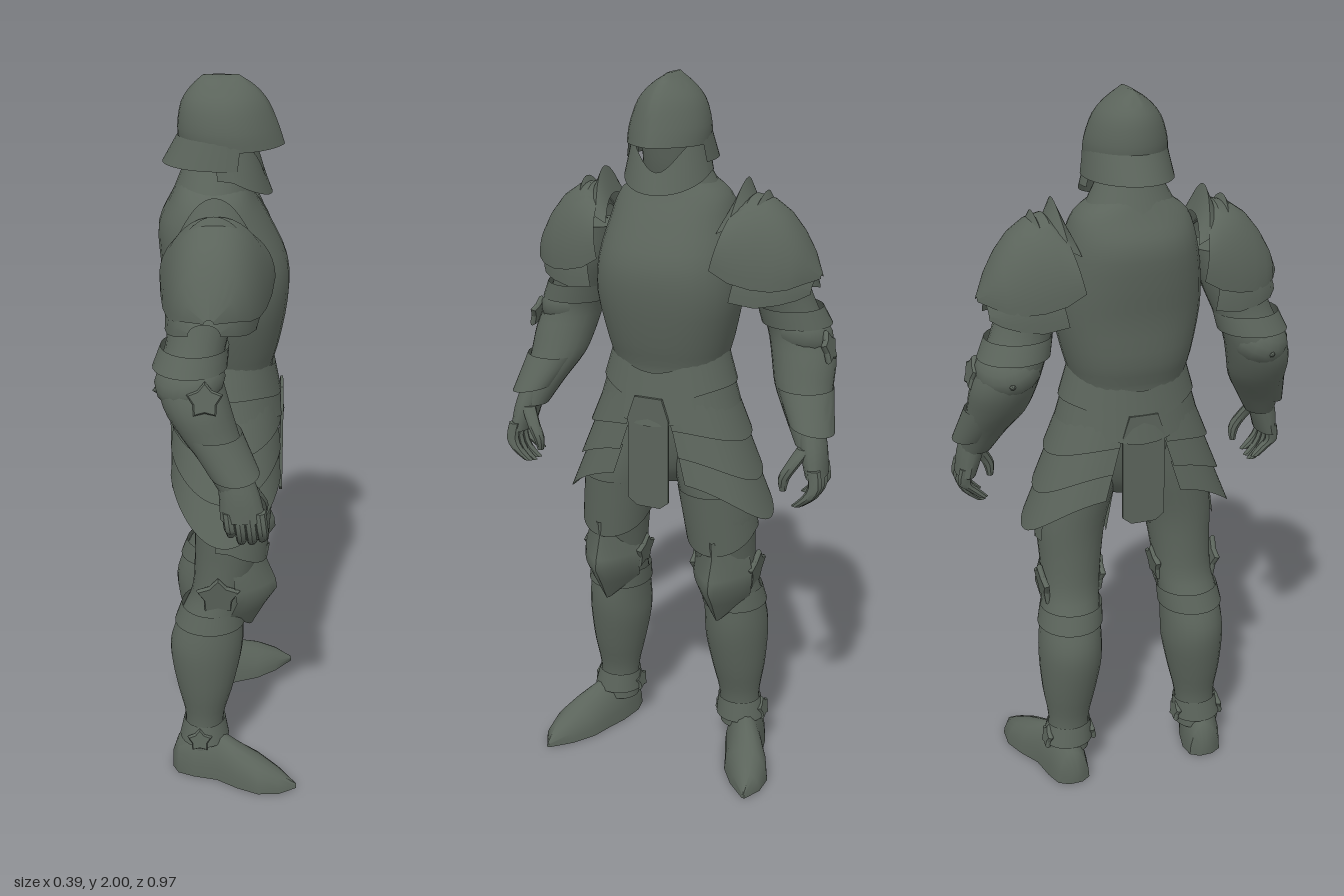
import * as THREE from 'three';
import { toCreasedNormals } from 'three/addons/utils/BufferGeometryUtils.js';
import { ParametricGeometry } from 'three/addons/geometries/ParametricGeometry.js';

const steel = new THREE.MeshStandardMaterial({ color: 0x5b645b, side: THREE.DoubleSide });
steel.name = 'dark steel';
const { sin, cos, abs, max, sign, PI } = Math;
const lerp = THREE.MathUtils.lerp;
const rad = THREE.MathUtils.degToRad;

function add(parent, name, geo, crease = 0.75) {
  const mesh = new THREE.Mesh(toCreasedNormals(geo, crease), steel);
  mesh.name = name;
  parent.add(mesh);
  return mesh;
}

// open plate from a rule f(u, v) -> [x, y, z]
function sheet(parent, name, nu, nv, f) {
  return add(parent, name, new ParametricGeometry((u, v, t) => t.set(...f(u, v)), nu, nv));
}

// closed body through horizontal ellipses [x, y, z, rx, rz]; power > 2 is boxier, point sharpens the front
function loft(parent, name, rings, { n = 20, sub = 3, power = 2, point = 0 } = {}) {
  const mid = new THREE.CatmullRomCurve3(rings.map(r => new THREE.Vector3(r[0], r[1], r[2])), false, 'catmullrom');
  const size = new THREE.CatmullRomCurve3(rings.map(r => new THREE.Vector3(r[3], r[4], 0)), false, 'catmullrom');
  const stacks = (rings.length - 1) * sub + 2;
  return sheet(parent, name, n, stacks, (u, v) => {
    const j = Math.round(v * stacks);
    const t = Math.min(1, max(0, (j - 1) / (stacks - 2)));
    const c = mid.getPoint(t), r = size.getPoint(t);
    const k = j === 0 || j === stacks ? 0 : 1;
    const a = u * 2 * PI, bend = w => sign(w) * abs(w) ** (2 / power);
    return [c.x + k * r.x * bend(cos(a)), c.y,
      c.z + k * r.y * bend(sin(a)) * (cos(a) > 0 ? abs(sin(a)) ** point : 1)];
  });
}

// flared band between two ellipses; angles run from the front (+x); drop lowers the edges
function lame(parent, name, top, bottom, a0, a1, dropTop = () => 0, dropBottom = dropTop, n = 28) {
  return sheet(parent, name, n, 3, (u, v) => {
    const a = rad(lerp(a0, a1, u));
    const m = top.map((w, i) => lerp(w, bottom[i], v));
    return [m[0] + m[3] * cos(a), m[1] - lerp(dropTop(a), dropBottom(a), v), m[2] + m[4] * sin(a)];
  });
}

// five-pointed fan plate on the side of a joint
function fan(parent, name, x, y, z, r, tilt) {
  const s = new THREE.Shape();
  for (let i = 0; i < 10; i++) {
    const a = PI / 2 + i * PI / 5, q = i % 2 ? r * 0.65 : r;
    i ? s.lineTo(q * cos(a), q * sin(a)) : s.moveTo(q * cos(a), q * sin(a));
  }
  const m = add(parent, name, new THREE.ExtrudeGeometry(s, { depth: 0.004, bevelSize: 0.004, bevelThickness: 0.006, bevelSegments: 1 }), 0.3);
  m.position.set(x, y, z);
  m.rotation.x = tilt;
}

function hangingTab(parent, name, x) {
  const s = new THREE.Shape();
  [[-0.04, 0.32], [0.04, 0.32], [0.06, 0.26], [0.06, 0.02], [0.035, 0], [-0.035, 0], [-0.06, 0.02], [-0.06, 0.26]]
    .forEach((p, i) => i ? s.lineTo(...p) : s.moveTo(...p));
  const m = add(parent, name, new THREE.ExtrudeGeometry(s, { depth: 0.008, bevelEnabled: false }), 0.3);
  m.rotation.y = PI / 2;
  m.position.set(x, 0.84, 0);
}

function helmet(g) {
  loft(g, 'head', [[-0.045, 1.68, 0, 0.07, 0.075], [-0.025, 1.76, 0, 0.075, 0.078], [-0.02, 1.85, 0, 0.085, 0.08]]);
  // pointed dome with a comb and a beaked brow
  loft(g, 'helmetSkull', [[0, 1.825, 0, 0.135, 0.108], [-0.01, 1.87, 0, 0.13, 0.106], [-0.018, 1.93, 0, 0.112, 0.086],
    [-0.022, 1.97, 0, 0.082, 0.05], [-0.028, 1.998, 0, 0.045, 0.006]], { n: 32, point: 0.4 });
  lame(g, 'neckGuard', [-0.01, 1.85, 0, 0.13, 0.106], [-0.025, 1.78, 0, 0.155, 0.118], 75, 285);
  // cheek and chin guard, cut away before the mouth
  lame(g, 'chinGuard', [-0.01, 1.84, 0, 0.092, 0.1], [0, 1.755, 0, 0.105, 0.12], -110, 110,
    a => 0.085 * max(0, cos(a)) ** 4, a => 0.055 * max(0, cos(a)));
}

function body(g) {
  loft(g, 'cuirass', [[-0.02, 1.15, 0, 0.14, 0.17], [-0.02, 1.22, 0, 0.13, 0.155], [-0.02, 1.3, 0, 0.15, 0.175],
    [-0.012, 1.42, 0, 0.163, 0.2], [-0.02, 1.52, 0, 0.168, 0.196], [-0.045, 1.62, 0, 0.147, 0.175],
    [-0.05, 1.69, 0, 0.11, 0.15], [-0.05, 1.735, 0, 0.088, 0.09]], { n: 32, power: 2.3 });
  lame(g, 'gorget', [-0.042, 1.775, 0, 0.082, 0.084], [-0.05, 1.7, 0, 0.105, 0.125], 0, 360);
  // waist lames with a shallow V at the front and back
  const dip = a => 0.04 * cos(a) ** 4;
  for (let i = 0; i < 2; i++) {
    const k = i * 0.01;
    lame(g, 'waistLame', [-0.018, 1.265 - i * 0.06, 0, 0.137 + k, 0.165 + k],
      [-0.016, 1.18 - i * 0.06, 0, 0.152 + k, 0.19 + k], 0, 360, dip, dip, 36);
  }
  loft(g, 'hips', [[-0.02, 1.16, 0, 0.135, 0.165], [-0.015, 1.05, 0, 0.125, 0.16], [-0.01, 0.94, 0, 0.095, 0.12],
    [-0.01, 0.88, 0, 0.05, 0.06]]);
  hangingTab(g, 'frontTab', 0.134);
  hangingTab(g, 'backTab', -0.169);
}

function tassets(g) {
  // three overlapping tiers, pointed at the outer side
  for (let i = 0; i < 3; i++) {
    sheet(g, 'tasset', 24, 3, (u, w) => {
      const a = rad(lerp(-80, 80, u)), v = (i + w * 1.15) / 3.15, out = 0.012 * (w - 0.6);
      const y = lerp(1.16, 0.8 + 0.125 * sin(a) ** 2, v);
      return [-0.016 + (0.148 + 0.004 * v + out * 0.7) * sin(a), y,
        0.05 * v + (lerp(0.19, 0.252, v) + out) * cos(a) ** 0.85];
    });
  }
}

function arm(g) {
  loft(g, 'arm', [[-0.06, 1.58, 0.25, 0.08, 0.08], [-0.07, 1.48, 0.28, 0.083, 0.083], [-0.085, 1.4, 0.31, 0.076, 0.082],
    [-0.1, 1.33, 0.34, 0.082, 0.085], [-0.085, 1.26, 0.362, 0.085, 0.088], [-0.055, 1.19, 0.375, 0.076, 0.08],
    [-0.015, 1.12, 0.4, 0.06, 0.062], [0.015, 1.05, 0.422, 0.045, 0.042]]);
  // shoulder arches narrowing to an outer point: [z, x, half width, top y, lower edge y]
  const arch = (name, st) => sheet(g, name, 24, st.length - 1, (u, v) => {
    const [z, x, w, top, low] = st[Math.round(v * (st.length - 1))], a = u * PI;
    return [x + w * sign(cos(a)) * abs(cos(a)) ** 0.9, lerp(low, top, sin(a)), z + 0.035 * (1 - v) ** 3 * sin(a)];
  });
  arch('pauldron', [[0.16, -0.035, 0.148, 1.67, 1.52], [0.21, -0.037, 0.141, 1.7, 1.49], [0.265, -0.04, 0.13, 1.69, 1.475],
    [0.315, -0.042, 0.115, 1.66, 1.47], [0.355, -0.045, 0.095, 1.615, 1.475], [0.385, -0.048, 0.067, 1.565, 1.485], [0.415, -0.05, 0.012, 1.5, 1.49]]);
  arch('lowerPauldron', [[0.2, -0.045, 0.12, 1.6, 1.43], [0.27, -0.05, 0.115, 1.62, 1.42],
    [0.33, -0.055, 0.1, 1.58, 1.43], [0.37, -0.06, 0.075, 1.53, 1.44], [0.395, -0.062, 0.04, 1.48, 1.45]]);
  // pointed ridges standing on top of the shoulder
  [[0.208, 1.685, 0.055, 0.03], [0.262, 1.68, 0.03, 0.025]].forEach(([z, y, h, t]) => sheet(g, 'shoulderRidge', 16, 4, (u, v) => {
    const q = u * 2 - 1, e = 1 - abs(2 * v - 1);
    return [-0.04 + 0.1 * q, y - 0.065 * q * q - 0.015 * (1 - e) + e * h * (1 - q * q), z + t * (v * 2 - 1) - 0.02 * q * q];
  }));
  // elbow cop with a swept-back point and upper rim
  const cop = add(g, 'elbowCop', new THREE.SphereGeometry(1, 16, 10));
  cop.scale.set(0.092, 0.068, 0.09);
  cop.position.set(-0.1, 1.32, 0.35);
  cop.rotation.set(0.35, 0, 0.35);
  const point = add(g, 'elbowPoint', new THREE.ConeGeometry(0.06, 0.07, 6));
  point.position.set(-0.16, 1.3, 0.36);
  point.rotation.z = PI / 2 + 0.25;
  lame(g, 'elbowRim', [-0.088, 1.4, 0.318, 0.086, 0.09], [-0.1, 1.35, 0.335, 0.094, 0.096], 0, 360);
  fan(g, 'elbowFan', -0.06, 1.3, 0.437, 0.042, -0.25);
  // flared gauntlet cuff
  lame(g, 'gauntletCuff', [-0.045, 1.19, 0.382, 0.076, 0.078], [0.012, 1.095, 0.423, 0.064, 0.062], 0, 360,
    () => 0, a => 0.012 * sin(a));
  loft(g, 'palm', [[0.012, 1.1, 0.422, 0.042, 0.036], [0.025, 1.04, 0.436, 0.052, 0.036],
    [0.035, 0.975, 0.45, 0.058, 0.028]], { n: 14 });
  for (let i = 0; i < 4; i++) {
    const x = -0.004 + i * 0.027, d = i === 0 ? 0.02 : i === 3 ? 0.008 : 0;
    loft(g, 'finger', [[x, 1, 0.453, 0.016, 0.019], [x + 0.006, 0.955, 0.46, 0.016, 0.019],
      [x + 0.009, 0.915 + d, 0.443, 0.015, 0.018], [x + 0.007, 0.885 + d, 0.41, 0.01, 0.014]], { n: 8, sub: 2 });
  }
  loft(g, 'thumb', [[0.055, 1.05, 0.42, 0.018, 0.022], [0.078, 1, 0.39, 0.018, 0.019], [0.083, 0.965, 0.372, 0.016, 0.016],
    [0.08, 0.93, 0.37, 0.009, 0.009]], { n: 8, sub: 2 });
}

function leg(g) {
  loft(g, 'leg', [[-0.012, 1.05, 0.11, 0.11, 0.1], [-0.002, 0.92, 0.135, 0.112, 0.105], [0, 0.8, 0.16, 0.103, 0.1],
    [-0.012, 0.7, 0.167, 0.09, 0.09], [-0.03, 0.6, 0.173, 0.08, 0.084], [-0.052, 0.53, 0.182, 0.088, 0.086],
    [-0.067, 0.45, 0.188, 0.103, 0.091], [-0.072, 0.38, 0.19, 0.1, 0.091], [-0.074, 0.28, 0.196, 0.08, 0.078],
    [-0.077, 0.18, 0.2, 0.056, 0.06], [-0.08, 0.08, 0.205, 0.058, 0.062]], { n: 24 });
  lame(g, 'thighPlate', [0, 0.88, 0.145, 0.114, 0.107], [-0.006, 0.76, 0.164, 0.106, 0.102], -110, 110,
    () => 0, a => 0.06 * max(0, cos(a)));
  lame(g, 'greaveRim', [-0.05, 0.555, 0.178, 0.09, 0.09], [-0.06, 0.5, 0.185, 0.1, 0.094], 0, 360);
  // ridged, pointed knee plate: [y, front x, half width]
  const knee = [[0.745, 0.108, 0.012], [0.695, 0.1, 0.075], [0.63, 0.126, 0.09], [0.6, 0.13, 0.09], [0.545, 0.095, 0.078], [0.48, 0.06, 0.006]];
  sheet(g, 'kneePlate', 12, 5, (u, v) => {
    const [y, x, w] = knee[Math.round(v * 5)], q = u * 2 - 1;
    return [x - (0.35 * abs(q) + 0.65 * q * q) * w * 1.25, y, 0.175 + w * q];
  });
  fan(g, 'outerKneeFan', -0.035, 0.62, 0.255, 0.058, 0.15);
  fan(g, 'innerKneeFan', -0.02, 0.62, 0.085, 0.05, -0.15);
  // ankle band and rosettes
  lame(g, 'ankleBand', [-0.077, 0.17, 0.2, 0.06, 0.064], [-0.078, 0.11, 0.205, 0.072, 0.074], 0, 360);
  fan(g, 'outerAnkleRosette', -0.09, 0.13, 0.268, 0.032, -0.2);
  fan(g, 'innerAnkleRosette', -0.09, 0.13, 0.135, 0.03, 0.2);
  // pointed shoe, flat below: [x, z, half width, height]
  const st = [[-0.172, 0.208, 0.02, 0.045], [-0.155, 0.21, 0.048, 0.1], [-0.11, 0.215, 0.06, 0.135], [-0.04, 0.23, 0.06, 0.137],
    [0.02, 0.26, 0.066, 0.112], [0.08, 0.283, 0.068, 0.086], [0.14, 0.303, 0.046, 0.052], [0.192, 0.318, 0.004, 0.014]];
  sheet(g, 'shoe', 20, st.length + 1, (u, v) => {
    const j = Math.round(v * (st.length + 1)), [x, z, w, h] = st[Math.min(st.length, max(1, j)) - 1];
    const k = j === 0 || j === st.length + 1 ? 0 : 1, a = u * 2 * PI;
    return [x, k * h * max(0, sin(a)), z + k * w * cos(a)];
  });
}

export function createModel() {
  const model = new THREE.Group();
  model.name = 'armouredFigure';
  helmet(model);
  body(model);
  for (const s of [1, -1]) {
    const side = new THREE.Group();
    side.name = s > 0 ? 'armAndLegNear' : 'armAndLegFar';
    tassets(side);
    arm(side);
    leg(side);
    side.scale.z = s;
    model.add(side);
  }
  return model;
}
